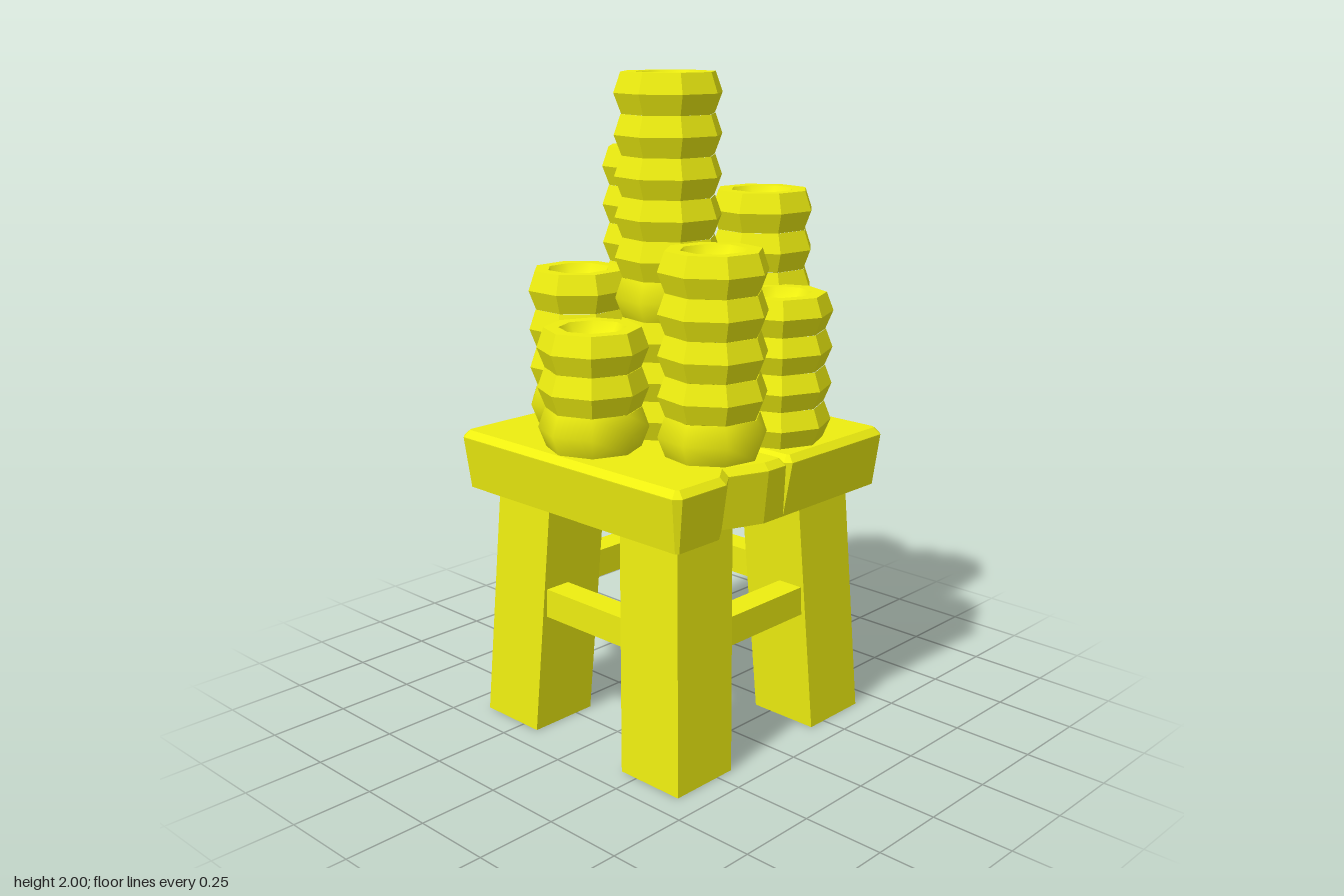
import * as THREE from 'three';

const flat = new THREE.MeshStandardMaterial({ color: 0xeeee10, flatShading: true });
const smooth = new THREE.MeshStandardMaterial({ color: 0xeeee10 });

function add(parent, name, geometry, material = flat) {
  const mesh = new THREE.Mesh(geometry, material);
  mesh.name = name;
  parent.add(mesh);
  return mesh;
}

const lathe = (points) => new THREE.LatheGeometry(points.map(([r, y]) => new THREE.Vector2(r, y)), 8);

// Half of the seat: widest just below the bevelled top, narrowing to the underside
function plankGeometry(outline) {
  const shape = new THREE.Shape(outline.map(([x, z]) => new THREE.Vector2(x, -z)));
  const geo = new THREE.ExtrudeGeometry(shape, {
    depth: 0.002, bevelThickness: 0.02, bevelSize: 0.02, bevelOffset: -0.02, bevelSegments: 1,
  });
  geo.rotateX(-Math.PI / 2);
  const p = geo.attributes.position;
  for (let i = 0; i < p.count; i++) {
    if (p.getY(i) < -0.01) {
      p.setY(i, -0.16);
      if (Math.abs(p.getX(i)) < 0.05) p.setX(i, 0);
    }
  }
  geo.computeVertexNormals();
  return geo.translate(0, 0.908, 0);
}

// Square leg leaning outwards towards its foot
function legGeometry(sx, sz) {
  const h = 0.76;
  const geo = new THREE.BoxGeometry(0.228, h, 0.228).translate(0, h / 2, 0);
  const p = geo.attributes.position;
  for (let i = 0; i < p.count; i++) {
    const offset = 0.303 - 0.04 * (p.getY(i) / h);
    p.setX(i, p.getX(i) + sx * offset);
    p.setZ(i, p.getZ(i) + sz * offset);
  }
  geo.computeVertexNormals();
  return geo;
}

// Stack of double-cone rings with a bowl sunk into the top one
function createStack({ x, z, count, turn, soft, step = 0.1188 }) {
  const stack = new THREE.Group();
  stack.name = 'ringStack';
  const ring = lathe([[0, 0], [0.14, 0], [0.163, step / 2], [0.142, step]]);
  const side = lathe([[0.14, 0], [0.163, step / 2], [0.142, step]]);
  for (let i = 0; i < count; i++) {
    const isSoft = i === soft;
    add(stack, 'ring', isSoft ? side : ring, isSoft ? smooth : flat).position.y = i * step;
  }
  const top = count * step;
  add(stack, 'rim', lathe([[0.142, top], [0.098, top]]));
  add(stack, 'bowl', lathe([[0.098, top], [0.078, top - 0.03], [0.045, top - 0.05], [0, top - 0.057]]), smooth);
  stack.position.set(x, 0.93, z);
  stack.rotation.y = THREE.MathUtils.degToRad(turn);
  return stack;
}

export function createModel() {
  const model = new THREE.Group();
  model.name = 'stoolWithRingStacks';

  // Seat of two chipped planks, with a groove between them
  const seat = new THREE.Group();
  seat.name = 'seat';
  model.add(seat);
  add(seat, 'rightPlank', plankGeometry([
    [-0.445, 0.46], [-0.27, 0.46], [-0.21, 0.415], [-0.09, 0.46], [-0.015, 0.46], [0, 0.44],
    [0, -0.44], [-0.015, -0.46], [-0.445, -0.46], [-0.465, -0.44], [-0.465, 0.44],
  ]));
  add(seat, 'leftPlank', plankGeometry([
    [0, 0.44], [0.015, 0.46], [0.44, 0.46], [0.46, 0.44], [0.46, -0.44], [0.44, -0.46],
    [0.335, -0.46], [0.28, -0.412], [0.235, -0.412], [0.17, -0.46], [0.015, -0.46], [0, -0.44],
  ]));
  // Core closing the bottom of the groove
  add(seat, 'grooveFloor', new THREE.BoxGeometry(0.06, 0.14, 0.86)).position.y = 0.835;

  // Legs
  for (const sx of [-1, 1]) {
    for (const sz of [-1, 1]) {
      add(model, (sz > 0 ? 'front' : 'back') + (sx > 0 ? 'Left' : 'Right') + 'Leg', legGeometry(sx, sz));
    }
  }

  // Stretchers on all four sides
  for (let i = 0; i < 4; i++) {
    const holder = new THREE.Group();
    holder.name = 'stretcher';
    holder.rotation.y = (i * Math.PI) / 2;
    add(holder, 'stretcherBar', new THREE.BoxGeometry(0.42, 0.09, 0.085)).position.set(0, 0.42, 0.34);
    model.add(holder);
  }

  // Ring stacks
  [
    { x: -0.02, z: 0, count: 9, turn: 13, soft: 3 },
    { x: 0.178, z: -0.26, count: 7, turn: 16, soft: 2 },
    { x: 0.308, z: 0.082, count: 6, turn: 16, soft: 1 },
    { x: -0.122, z: 0.273, count: 5, turn: 12, soft: 0 },
    { x: -0.112, z: -0.294, count: 4, turn: 22.5, soft: 0 },
    { x: 0.146, z: 0.288, count: 4, turn: 0, step: 0.11 },
    { x: -0.302, z: -0.033, count: 3, turn: 0, soft: 0 },
  ].forEach((s) => model.add(createStack(s)));

  return model;
}
